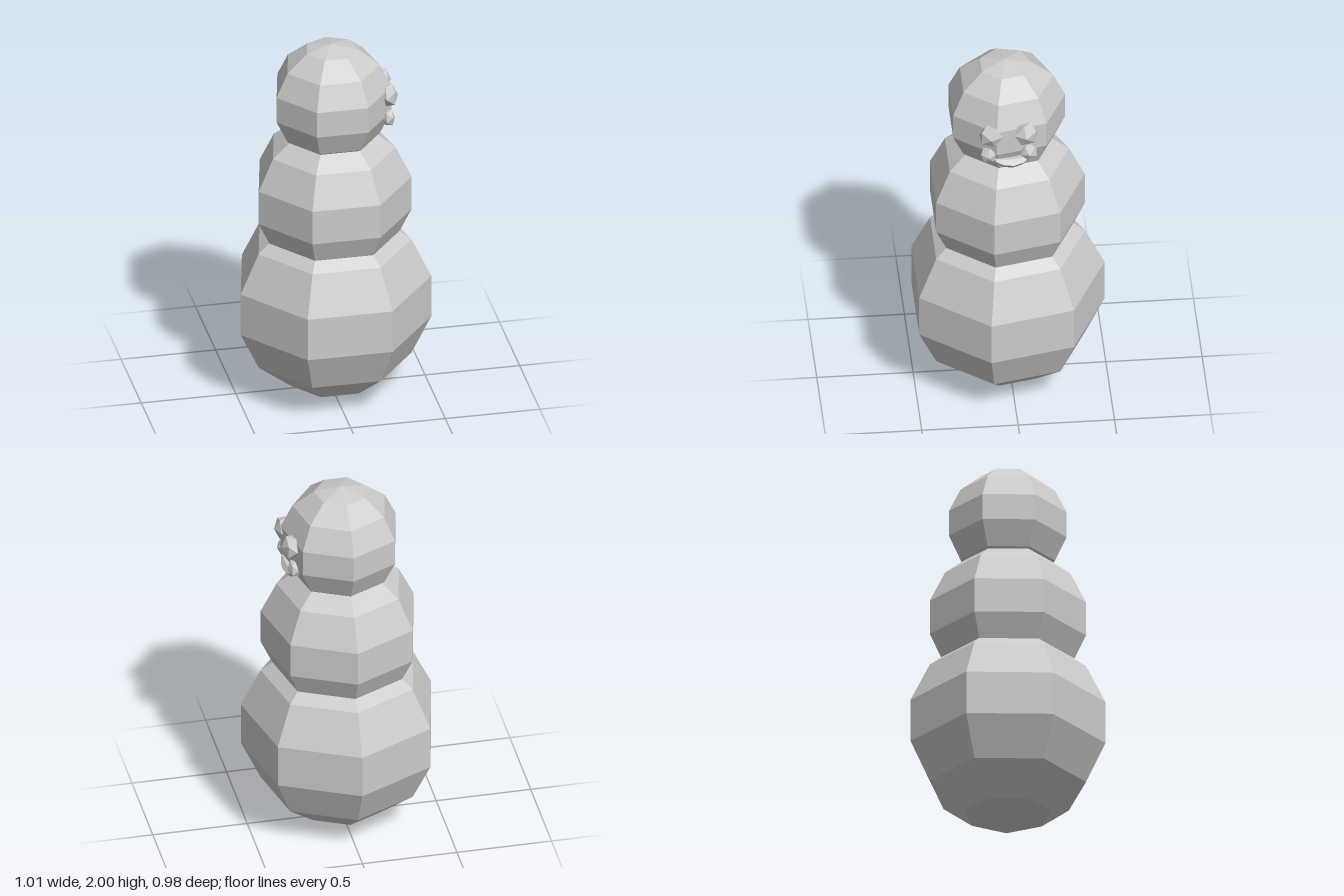
import * as THREE from 'three';

const CENTRE_Z = 0.023;

export function createModel() {
  const group = new THREE.Group();
  group.name = 'snowman';
  const material = new THREE.MeshStandardMaterial({ color: 0xcccccc, flatShading: true });

  function add(name, geometry, x, y, z) {
    const mesh = new THREE.Mesh(geometry, material);
    mesh.name = name;
    mesh.position.set(x, y, z);
    group.add(mesh);
    return mesh;
  }

  // Three stacked seven-sided balls, one corner pointing to the back
  const balls = [
    ['lowerBody', 0.53, 0.533],
    ['upperBody', 0.425, 1.133],
    ['head', 0.32, 1.68],
  ];
  for (const [name, radius, y] of balls) {
    add(name, new THREE.SphereGeometry(radius, 7, 7, -Math.PI / 2), 0, y, CENTRE_Z);
  }

  // Faceted lumps on the +x side of the head: eyes and mouth corners
  function lump(name, radius, depth, x, y, z, turn) {
    const geometry = new THREE.IcosahedronGeometry(radius, 0);
    geometry.rotateZ(-1.02); // one corner points outwards
    geometry.rotateX(turn);
    geometry.scale(depth, 1, 1);
    add(name, geometry, x, y, z);
  }
  lump('leftEye', 0.068, 0.75, 0.282, 1.72, -0.06, 0.2);
  lump('rightEye', 0.066, 0.75, 0.282, 1.72, 0.122, -0.3);
  lump('leftMouthCorner', 0.05, 0.75, 0.268, 1.595, -0.077, 0.5);
  lump('rightMouthCorner', 0.048, 0.75, 0.278, 1.595, 0.133, 0);

  // Mouth: a tapered bar bent up at both ends
  const mouth = new THREE.SphereGeometry(1, 6, 6);
  mouth.rotateX(Math.PI / 2);
  mouth.scale(0.04, 0.03, 0.1);
  const p = mouth.attributes.position;
  for (let i = 0; i < p.count; i++) {
    p.setY(i, p.getY(i) + 3 * p.getZ(i) ** 2);
  }
  mouth.computeVertexNormals();
  add('mouth', mouth, 0.27, 1.538, 0.01).rotation.y = 0.12;

  return group;
}
